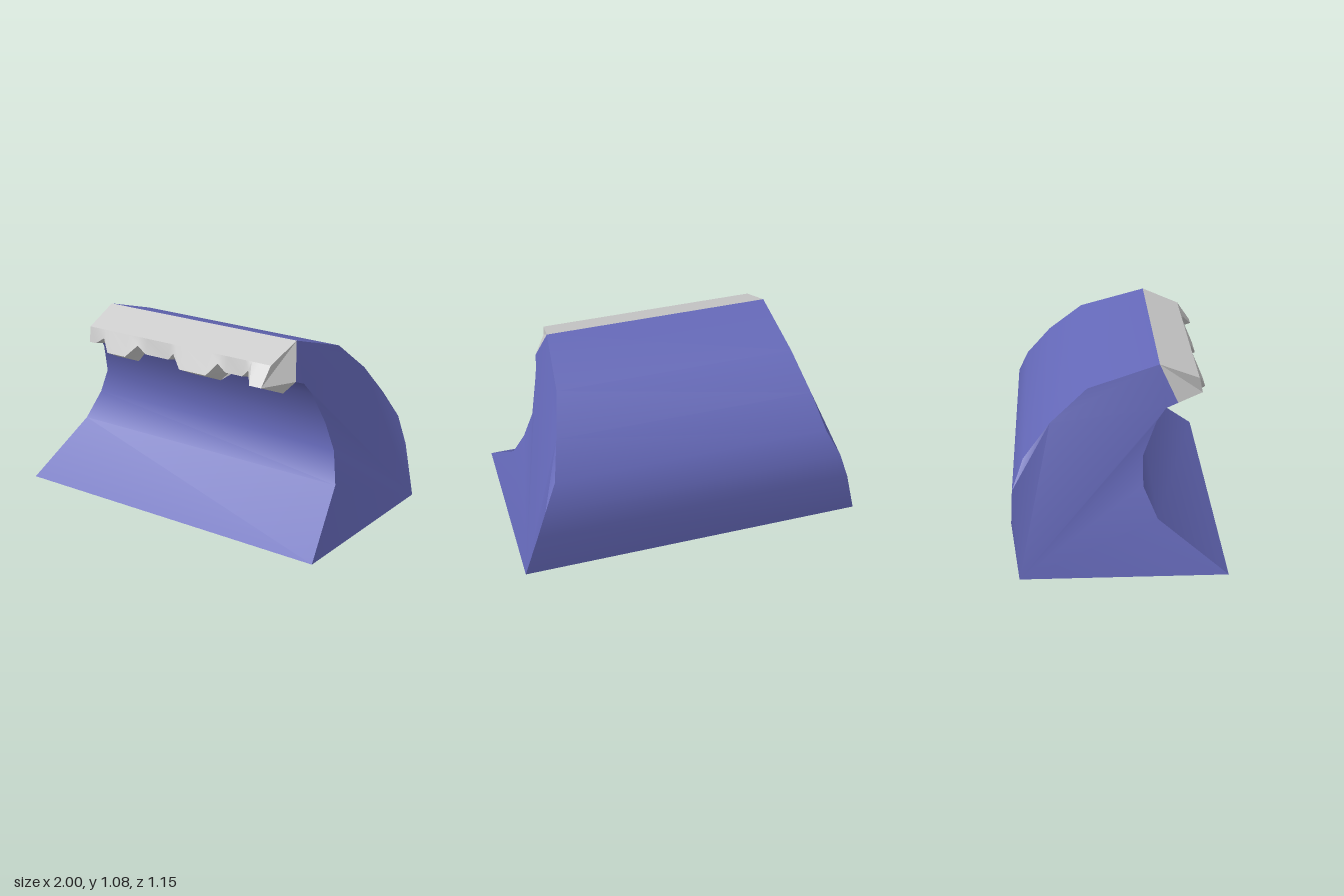
import * as THREE from 'three';
import { toCreasedNormals } from 'three/addons/utils/BufferGeometryUtils.js';

// Closed loft through rings of [x, y, z], running from -x to +x,
// each ring counter-clockwise as seen from +x
function loft(rings, crease) {
  const n = rings[0].length;
  const index = [];
  for (let s = 0; s < rings.length - 1; s++) {
    for (let i = 0; i < n; i++) {
      const j = (i + 1) % n;
      const a = s * n + i, b = s * n + j, c = b + n, d = a + n;
      index.push(a, b, c, a, c, d);
    }
  }
  const cap = (ring, base, flip) => {
    const outline = ring.map(([, y, z]) => new THREE.Vector2(-z, y));
    for (const [a, b, c] of THREE.ShapeUtils.triangulateShape(outline, [])) {
      index.push(base + a, base + (flip ? c : b), base + (flip ? b : c));
    }
  };
  cap(rings[0], 0, true);
  cap(rings[rings.length - 1], (rings.length - 1) * n, false);
  const geometry = new THREE.BufferGeometry();
  geometry.setAttribute('position', new THREE.Float32BufferAttribute(rings.flat(2), 3));
  geometry.setIndex(index);
  return toCreasedNormals(geometry, crease);
}

// Wave profile: z, y and half width at that point
const profile = [
  [0.577, 0, 1], [-0.54, 0, 1],
  [-0.577, 0.295, 0.92], [-0.57, 0.46, 0.865], [-0.51, 0.61, 0.79],
  [-0.365, 0.79, 0.74], [-0.165, 0.96, 0.685], [0.22, 1.075, 0.65],
  [0.315, 0.88, 0.71], [0.25, 0.855, 0.72], [0.2, 0.79, 0.74],
  [0.125, 0.61, 0.785], [0.125, 0.46, 0.845], [0.2, 0.295, 0.905],
];

// Lower edge of the crest: front y, front z, back y, back z
const edge = {
  valley: [0.9, 0.455, 0.875, 0.325],
  peak: [0.94, 0.455, 0.872, 0.33],
  tooth: [0.87, 0.487, 0.808, 0.352],
  tip: [0.88, 0.51, 0.818, 0.36],
};

// Stations along the crest: kind, front x, back x
const stations = [
  ['valley', -0.62, -0.69], ['valley', -0.575, -0.6],
  ['peak', -0.51, -0.575], ['tooth', -0.46, -0.51], ['tooth', -0.33, -0.34], ['peak', -0.26, -0.3],
  ['valley', -0.2, -0.22], ['valley', -0.04, -0.045],
  ['peak', -0.005, -0.01], ['tooth', 0.06, 0.07], ['tooth', 0.24, 0.245], ['peak', 0.3, 0.305],
  ['valley', 0.35, 0.36], ['valley', 0.46, 0.48],
  ['peak', 0.5, 0.53], ['tip', 0.545, 0.585], ['tip', 0.62, 0.66],
];

export function createModel() {
  const group = new THREE.Group();
  const add = (name, geometry, color) => {
    const mesh = new THREE.Mesh(geometry, new THREE.MeshStandardMaterial({ color }));
    mesh.name = name;
    group.add(mesh);
  };

  // Curling body of water, narrowing towards the top
  const bodyRings = [-1, 1].map((side) => profile.map(([z, y, w]) => [side * w, y, z]));
  add('waveBody', loft(bodyRings, 0.6), 0x6468b8);

  // Foam crest with a ragged lower edge
  const crestRings = stations.map(([kind, xf, xb]) => {
    const [yf, zf, yb, zb] = edge[kind];
    const t = xf / 0.62;
    return [
      [xf, yf, zf], [xb, yb, zb],
      [0.71 * t, 0.88, 0.315], [0.65 * t, 1.075, 0.22], [0.63 * t, 0.987, 0.435],
    ];
  });
  add('foamCrest', loft(crestRings, 0.4), 0xcccccc);

  return group;
}
